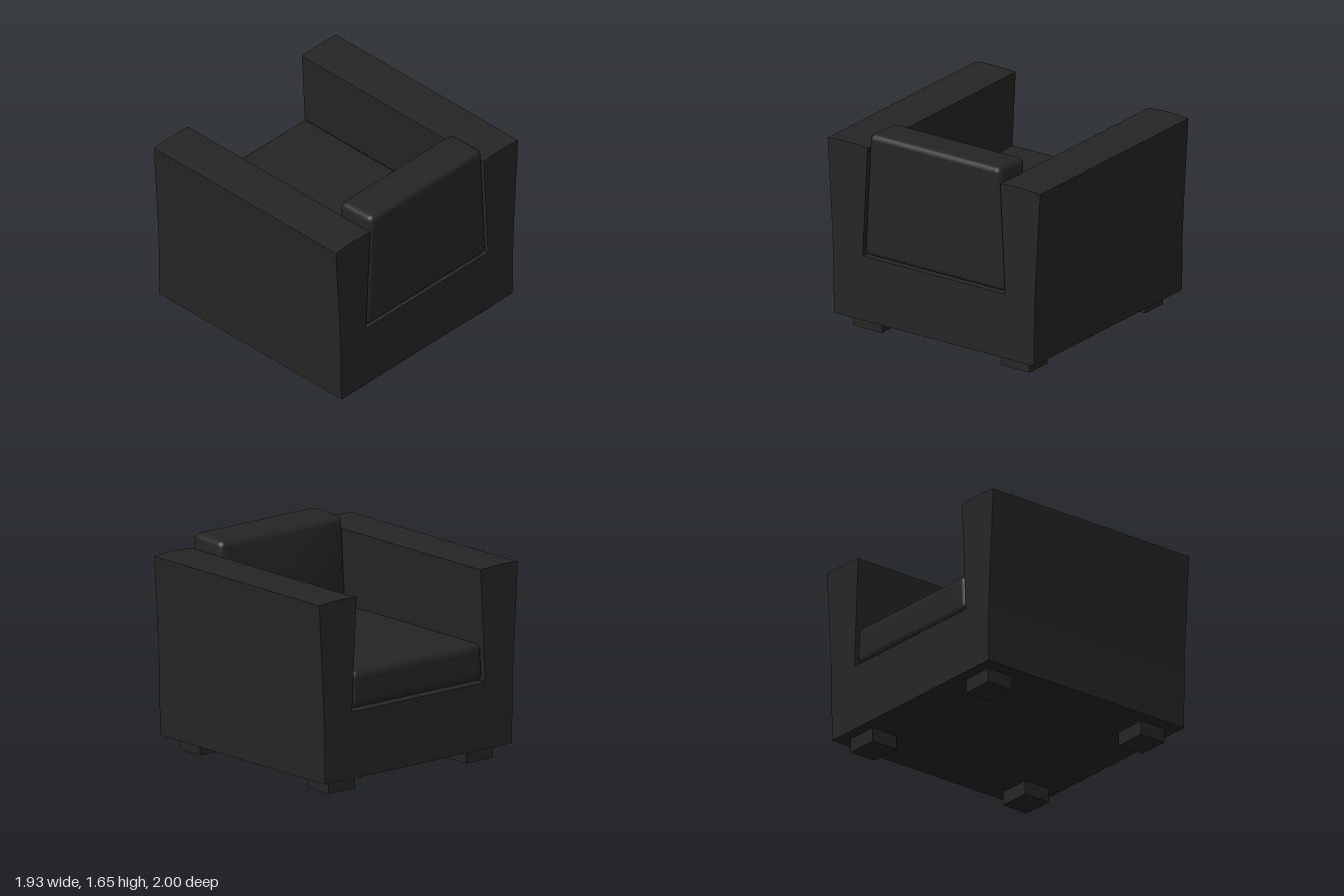
import * as THREE from 'three';
import { mergeVertices } from 'three/addons/utils/BufferGeometryUtils.js';

// Rounded, finely divided box; shape(p, u) then tapers and puffs each point.
// u holds the position inside the box, from -1 to 1 on each axis.
function cushionGeometry(size, radius, shape) {
  const n = 16;
  let geo = new THREE.BoxGeometry(2, 2, 2, n, n, n);
  geo.deleteAttribute('normal');
  geo.deleteAttribute('uv');
  geo = mergeVertices(geo);
  const pos = geo.attributes.position;
  const half = size.map((s) => s / 2);
  const p = new THREE.Vector3();
  const core = new THREE.Vector3();
  const u = new THREE.Vector3();
  for (let i = 0; i < pos.count; i++) {
    p.fromBufferAttribute(pos, i);
    ['x', 'y', 'z'].forEach((axis, k) => {
      // The outer quarter of the grid is squeezed into the rounded edge
      const a = Math.abs(p[axis]);
      const inner = half[k] - radius;
      const d = a > 0.75
        ? inner + radius * Math.tan((a - 0.75) * Math.PI)
        : inner * a / 0.75;
      p[axis] = Math.sign(p[axis]) * d;
      core[axis] = THREE.MathUtils.clamp(p[axis], -inner, inner);
    });
    p.sub(core).setLength(radius).add(core);
    u.set(p.x / half[0], p.y / half[1], p.z / half[2]);
    shape(p, u);
    pos.setXYZ(i, p.x, p.y, p.z);
  }
  geo.computeVertexNormals();
  return geo;
}

export function createModel() {
  const chair = new THREE.Group();
  chair.name = 'armchair';
  const leather = new THREE.MeshStandardMaterial({ color: 0x252525 });
  leather.name = 'black leather';

  const add = (name, geo, x, y, z) => {
    const mesh = new THREE.Mesh(geo, leather);
    mesh.name = name;
    mesh.position.set(x, y, z);
    chair.add(mesh);
  };

  // Body: U-shaped profile with flared arms, extruded from front to back
  const profile = new THREE.Shape();
  profile.moveTo(-0.94, 0.113);
  profile.lineTo(0.94, 0.113);
  profile.lineTo(0.946, 0.55);
  profile.lineTo(0.956, 0.8);
  profile.lineTo(1.0, 1.535);
  profile.quadraticCurveTo(0.81, 1.555, 0.625, 1.535);
  profile.lineTo(0.67, 0.64);
  profile.lineTo(-0.67, 0.64);
  profile.lineTo(-0.625, 1.535);
  profile.quadraticCurveTo(-0.81, 1.555, -1.0, 1.535);
  profile.lineTo(-0.956, 0.8);
  profile.lineTo(-0.946, 0.55);
  const body = new THREE.ExtrudeGeometry(profile, { depth: 1.93, bevelEnabled: false, curveSegments: 8 });
  body.translate(0, 0, -0.965);
  body.rotateY(Math.PI / 2);
  add('body', body, 0, 0, 0);

  // Seat cushion: narrows upwards with the arms, crowned on top
  const seat = cushionGeometry([1.575, 0.3, 1.33], 0.05, (p, u) => {
    p.z *= 1 - 0.012 * (u.y + 1);
    if (u.y > 0) p.y += 0.03 * u.y * (1 - u.x * u.x) * (1 - u.z * u.z);
  });
  add('seatCushion', seat, -0.168, 0.8, 0);

  // Back cushion: tapers upwards, bulges towards the seat
  const back = cushionGeometry([0.335, 1.005, 1.33], 0.045, (p, u) => {
    p.z *= 1 - 0.04 * (u.y + 1);
    if (u.x < 0) p.x += 0.045 * u.x * (1 - u.y * u.y) * (1 - u.z * u.z);
    if (u.y > 0) p.y += 0.012 * u.y * (u.x - 1) * 0.5;
  });
  add('backCushion', back, 0.796, 1.152, 0);

  // Block legs
  for (const x of [-0.757, 0.747]) {
    for (const z of [-0.695, 0.695]) {
      add('leg', new THREE.BoxGeometry(0.233, 0.116, 0.266), x, 0.058, z);
    }
  }
  return chair;
}
